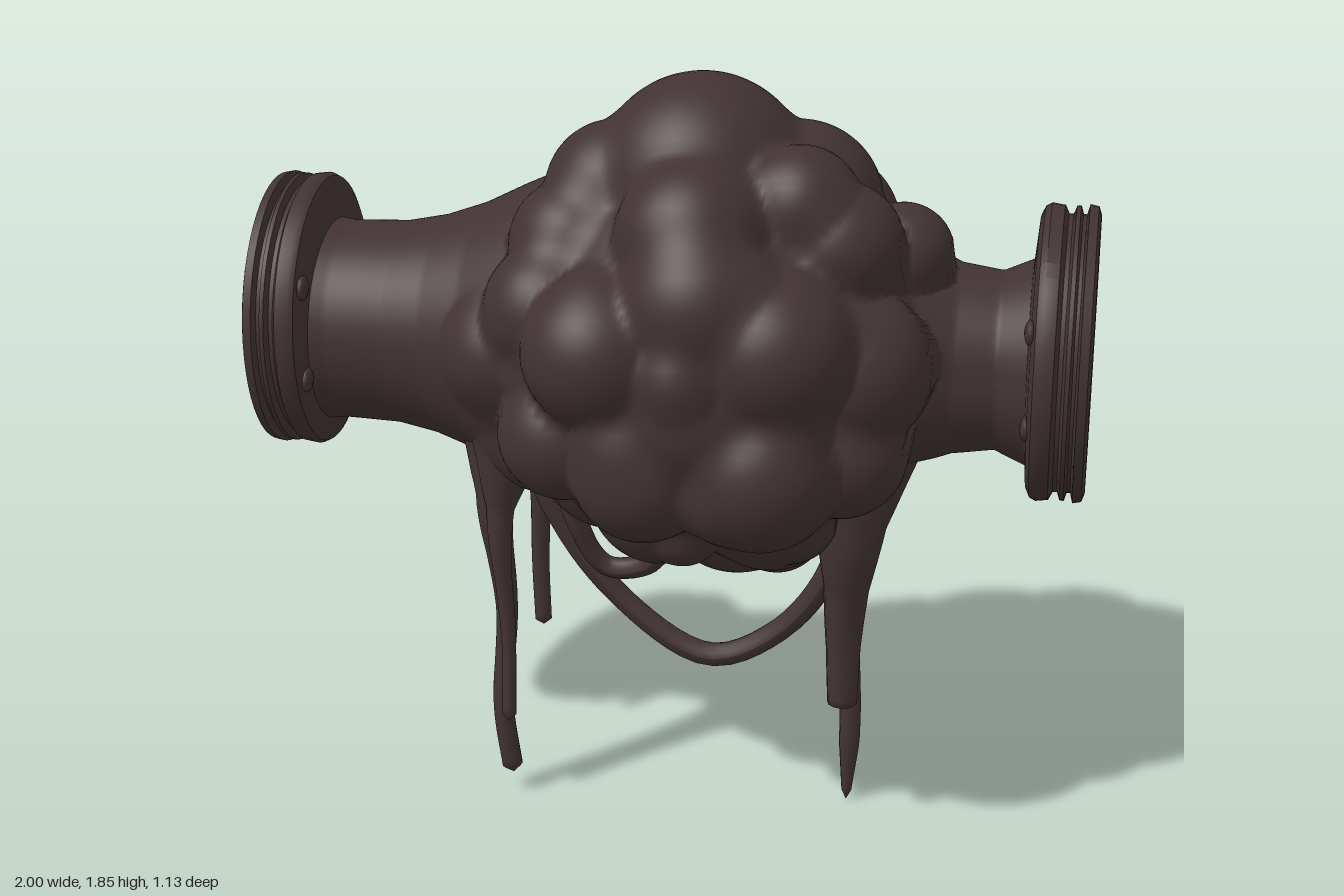
import * as THREE from 'three';
import { toCreasedNormals } from 'three/addons/utils/BufferGeometryUtils.js';

const AXIS_Y = 1.18, AXIS_Z = -0.08;

// Large lumps: x, y, z, radius
const LUMPS = [
  [0.08, 1.6, 0.03, 0.255], [-0.12, 1.57, 0.05, 0.17], [0.3, 1.54, -0.02, 0.2], [0.33, 1.59, 0.18, 0.14],
  [0.1, 1.53, 0.27, 0.18], [0.1, 1.5, -0.27, 0.21], [0.55, 1.44, 0, 0.12], [-0.2, 1.46, 0.13, 0.16],
  [0.13, 1.4, 0.35, 0.19], [-0.1, 1.28, 0.37, 0.18], [0.12, 1.15, 0.34, 0.2], [0.3, 1.3, 0.36, 0.19],
  [0.46, 1.23, 0.23, 0.19], [0.42, 1.5, 0.18, 0.15], [0.27, 1.02, 0.37, 0.19], [0, 1.0, 0.36, 0.17],
  [-0.2, 1.05, 0.28, 0.16], [0.44, 1.04, 0.26, 0.16], [-0.24, 1.33, 0.23, 0.16],
  [0.15, 0.78, -0.1, 0.205], [0, 0.86, 0.15, 0.17], [0.26, 0.86, 0.12, 0.18], [-0.15, 0.88, 0, 0.17],
  [0.28, 0.83, -0.2, 0.17], [-0.1, 0.93, -0.25, 0.17],
  [0, 1.28, -0.36, 0.21], [0.2, 1.26, -0.34, 0.2], [0.08, 1.02, -0.36, 0.19], [0.35, 1.1, -0.26, 0.19],
  [-0.15, 1.15, -0.31, 0.17], [0.33, 1.42, -0.26, 0.19], [-0.1, 1.46, -0.27, 0.17], [0.48, 1.15, -0.12, 0.15],
  [-0.36, 1.2, 0.16, 0.16], [-0.31, 0.98, 0.08, 0.15],
];

// Pipe wall: x, radius
const PIPE = [[-0.92, 0.26], [-0.82, 0.245], [-0.68, 0.25], [-0.58, 0.27], [-0.48, 0.305], [-0.38, 0.355], [-0.28, 0.4],
  [0, 0.43], [0.35, 0.41], [0.47, 0.345], [0.58, 0.265], [0.68, 0.215], [0.78, 0.2], [0.86, 0.235], [0.92, 0.28]];

function pipeRadius(x) {
  let i = 0;
  while (i < PIPE.length - 2 && x > PIPE[i + 1][0]) i++;
  const [x0, r0] = PIPE[i], [x1, r1] = PIPE[i + 1];
  return THREE.MathUtils.lerp(r0, r1, THREE.MathUtils.clamp((x - x0) / (x1 - x0), 0, 1));
}

function softMax(a, b, k) {
  const h = Math.max(k - Math.abs(a - b), 0) / k;
  return Math.max(a, b) + h * h * k * 0.25;
}

// One skin around the pipe axis, pushed out by every lump it meets
function skinGeometry() {
  const spheres = [[0.12, 1.2, 0, 0.495], ...LUMPS];
  for (let i = 0; i < 44; i++) {
    const h = 1 - (2 * i + 1) / 44, a = i * 2.39996, s = Math.sqrt(1 - h * h);
    spheres.push([0.12 + 0.43 * s * Math.cos(a), 1.2 + 0.48 * h, 0.455 * s * Math.sin(a), 0.075 + 0.04 * ((i * 7) % 5) / 4]);
  }
  const nx = 200, na = 160, pos = [], idx = [];
  for (let i = 0; i <= nx; i++) {
    const x = -0.92 + 1.84 * i / nx;
    // the narrow neck hangs a little lower than the bore
    const sag = 0.03 * THREE.MathUtils.smoothstep(x, 0.5, 0.7);
    for (let j = 0; j < na; j++) {
      const a = j / na * Math.PI * 2, uy = Math.cos(a), uz = Math.sin(a);
      let r = pipeRadius(x) + sag * Math.max(-uy, 0);
      for (const [sx, sy, sz, sr] of spheres) {
        const cy = sy - AXIS_Y, cz = sz - AXIS_Z, along = cy * uy + cz * uz;
        const disc = sr * sr - (x - sx) ** 2 - (cy * cy + cz * cz - along * along);
        if (disc > 0) r = softMax(r, along + Math.sqrt(disc), 0.045);
      }
      pos.push(x, AXIS_Y + r * uy, AXIS_Z + r * uz);
      if (i < nx) {
        const b = i * na, k = (j + 1) % na;
        idx.push(b + j, b + k, b + na + j, b + k, b + na + k, b + na + j);
      }
    }
  }
  const g = new THREE.BufferGeometry();
  g.setAttribute('position', new THREE.Float32BufferAttribute(pos, 3));
  g.setIndex(idx);
  g.computeVertexNormals();
  return g;
}

// Tube along a curve whose thickness follows a list of radii
function taperedTube(points, radii) {
  const curve = new THREE.CatmullRomCurve3(points.map(p => new THREE.Vector3(...p)));
  const n = 40, sides = 12;
  const g = new THREE.TubeGeometry(curve, n, 1, sides, false);
  const p = g.attributes.position, v = new THREE.Vector3();
  for (let i = 0; i <= n; i++) {
    const c = curve.getPointAt(i / n), f = i / n * (radii.length - 1);
    const k = Math.min(Math.floor(f), radii.length - 2);
    let r = THREE.MathUtils.lerp(radii[k], radii[k + 1], f - k);
    if (i === n) r = 0.001;
    for (let j = 0; j <= sides; j++) {
      const q = i * (sides + 1) + j;
      v.fromBufferAttribute(p, q).sub(c).multiplyScalar(r).add(c);
      p.setXYZ(q, v.x, v.y, v.z);
    }
  }
  g.computeVertexNormals();
  return g;
}

export function createModel() {
  const group = new THREE.Group();
  const darkBrown = new THREE.MeshStandardMaterial({ color: 0x423333 });
  darkBrown.name = 'darkBrown';
  const add = (name, geometry, parent = group) => {
    const m = new THREE.Mesh(geometry, darkBrown);
    m.name = name;
    parent.add(m);
    return m;
  };

  add('lumpyPipeBody', skinGeometry());

  // Open bore through the whole pipe, facing inward
  const bore = new THREE.LatheGeometry([new THREE.Vector2(0.162, 0.985), new THREE.Vector2(0.162, -0.985)], 48);
  bore.rotateZ(-Math.PI / 2);
  add('bore', bore).position.set(0, 1.2, AXIS_Z);

  // End flanges: grooved rim, stepped face, bolts
  const rim = [[0.2, 0.85], [0.295, 0.86], [0.315, 0.87], [0.322, 0.885], [0.318, 0.915], [0.3, 0.925], [0.3, 0.935],
    [0.318, 0.942], [0.318, 0.952], [0.3, 0.958], [0.3, 0.966], [0.322, 0.972], [0.318, 0.993], [0.3, 1], [0.24, 0.998], [0.235, 0.985], [0.162, 0.985]];
  for (const side of [1, -1]) {
    const flange = new THREE.Group();
    flange.name = side > 0 ? 'leftFlange' : 'rightFlange';
    flange.position.set(0, side > 0 ? 1.19 : 1.203, AXIS_Z);
    group.add(flange);
    const g = new THREE.LatheGeometry(rim.map(p => new THREE.Vector2(...p)), 56);
    g.rotateZ(-side * Math.PI / 2);
    // the rim is slightly sagged into an oval, the bore stays round
    const p = g.attributes.position;
    for (let i = 0; i < p.count; i++) {
      const r = Math.hypot(p.getY(i), p.getZ(i));
      const t = THREE.MathUtils.smoothstep(r, 0.17, 0.3);
      p.setY(i, p.getY(i) * (1 + (side > 0 ? 0.11 : 0.05) * t) + (1 - t) * (1.2 - flange.position.y));
    }
    add('flangeRing', toCreasedNormals(g, 0.6), flange);
    const bolt = new THREE.SphereGeometry(0.03, 12, 8);
    bolt.scale(0.45, 1, 1);
    for (const [y, z] of [[0.13, 0.25], [-0.1, 0.25], [-0.1, -0.25], [0.12, -0.25]]) {
      add('faceBolt', bolt, flange).position.set(side * 0.986, y, z);
      add('backBolt', bolt, flange).position.set(side * 0.857, y, z * 1.04);
    }
  }

  // Hanging drips
  const drips = [
    [[[-0.4, 0.96, 0.05], [-0.42, 0.8, 0.1], [-0.4, 0.5, 0.09], [-0.41, 0.25, 0.11], [-0.39, 0.05, 0.1]], [0.12, 0.05, 0.035, 0.028, 0.025, 0.026, 0.026]],
    [[[-0.38, 0.97, 0.1], [-0.4, 0.75, 0.14], [-0.385, 0.45, 0.14], [-0.385, 0.22, 0.152]], [0.1, 0.035, 0.022, 0.018, 0.018]],
    [[[-0.36, 0.97, -0.2], [-0.38, 0.75, -0.23], [-0.39, 0.5, -0.24], [-0.385, 0.31, -0.24]], [0.1, 0.04, 0.026, 0.023, 0.022]],
    [[[0.46, 0.95, -0.02], [0.47, 0.8, 0.01], [0.44, 0.55, -0.01], [0.455, 0.25, 0], [0.45, 0, 0]], [0.13, 0.06, 0.035, 0.03, 0.027, 0.026, 0.01]],
    [[[0.46, 0.97, 0.12], [0.46, 0.8, 0.17], [0.45, 0.55, 0.16], [0.45, 0.33, 0.155]], [0.15, 0.085, 0.055, 0.042, 0.036]],
  ];
  for (const [points, radii] of drips) add('drip', taperedTube(points, radii));

  // Sagging strands below the body
  const strands = [
    [[[-0.36, 0.93, -0.1], [-0.3, 0.7, -0.08], [-0.14, 0.46, -0.1], [0.08, 0.325, -0.1], [0.25, 0.4, -0.1], [0.39, 0.6, -0.07], [0.43, 0.9, -0.05]], [0.07, 0.035, 0.028, 0.03, 0.03, 0.03, 0.07]],
    [[[-0.28, 0.9, -0.02], [-0.25, 0.7, -0.04], [-0.18, 0.56, -0.08], [-0.07, 0.58, -0.07], [-0.02, 0.68, -0.03], [0, 0.8, 0]], [0.06, 0.03, 0.025, 0.028, 0.03, 0.045]],
  ];
  for (const [points, radii] of strands) add('strand', taperedTube(points, radii));

  return group;
}
